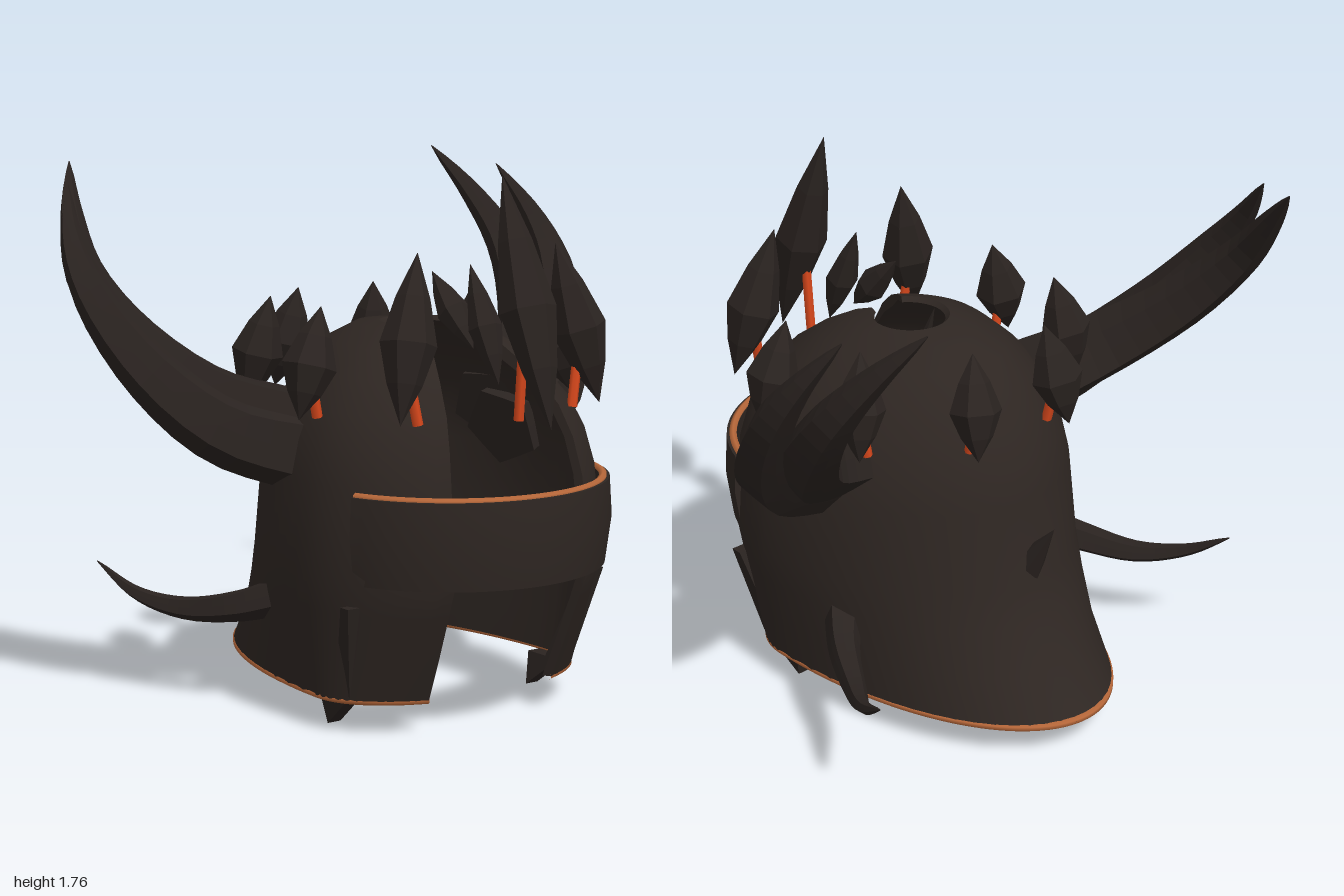
import * as THREE from 'three';
import { toCreasedNormals } from 'three/addons/utils/BufferGeometryUtils.js';

const V = (x, y, z) => new THREE.Vector3(x, y, z);
const iron = new THREE.MeshStandardMaterial({ color: 0x2e2622 });
const facetedIron = new THREE.MeshStandardMaterial({ color: 0x2a2320, flatShading: true });
const copper = new THREE.MeshStandardMaterial({ color: 0xb8683a });
const ember = new THREE.MeshStandardMaterial({ color: 0xd9481c });

// Skins closed cross-sections into a solid with both ends capped.
function loft(rings) {
  const n = rings[0].length, last = (rings.length - 1) * n, index = [];
  const quad = (a, b, c, d) => index.push(a, b, c, a, c, d);
  for (let i = 0; i < rings.length - 1; i++)
    for (let k = 0; k < n; k++) {
      const m = (k + 1) % n;
      quad(i * n + k, (i + 1) * n + k, (i + 1) * n + m, i * n + m);
    }
  for (let k = 0; k < n / 2 - 1; k++) {
    quad(k, k + 1, n - 2 - k, n - 1 - k);
    quad(last + n - 1 - k, last + n - 2 - k, last + k + 1, last + k);
  }
  const g = new THREE.BufferGeometry().setFromPoints(rings.flat());
  g.setIndex(index);
  return toCreasedNormals(g, 0.6);
}

function tube(points, r) {
  return new THREE.TubeGeometry(new THREE.CatmullRomCurve3(points), points.length * 2, r, 6);
}

// Tapering, ridged horn along a curve.
function horn(points, r0) {
  const curve = new THREE.CatmullRomCurve3(points), steps = 18, sides = 10;
  const { normals, binormals } = curve.computeFrenetFrames(steps);
  const rings = [];
  for (let i = 0; i <= steps; i++) {
    const t = i / steps, c = curve.getPoint(t), r = r0 * Math.pow(1 - t, 0.8) + 0.002;
    rings.push(Array.from({ length: sides }, (_, k) => {
      const a = -k / sides * Math.PI * 2, q = k % 2 ? r * 0.82 : r;
      return c.clone()
        .addScaledVector(normals[Math.min(i, steps)], Math.cos(a) * q)
        .addScaledVector(binormals[Math.min(i, steps)], Math.sin(a) * q);
    }));
  }
  return loft(rings);
}

export function createModel() {
  const group = new THREE.Group();
  const add = (name, geometry, material) => {
    const mesh = new THREE.Mesh(geometry, material);
    mesh.name = name;
    group.add(mesh);
    return mesh;
  };

  // Helmet shell: height, half width, z at the face opening, z at the back, centre z
  const rows = [
    [0.11, 0.5, 0.52, -0.74, 0.25], [0.25, 0.515, 0.58, -0.62, 0.25],
    [0.4, 0.53, 0.64, -0.54, 0.25], [0.52, 0.54, 0.685, -0.49, 0.25],
    [0.8, 0.525, 0.65, -0.45, 0.25], [0.92, 0.495, 0.62, -0.42, 0.24],
    [1.02, 0.45, 0.575, -0.37, 0.22], [1.12, 0.375, 0.49, -0.31, 0.19],
    [1.2, 0.28, 0.39, -0.23, 0.16], [1.25, 0.18, 0.3, -0.13, 0.14],
    [1.265, 0.13, 0.25, 0, 0.13],
  ];
  const open = Math.PI / 6;
  const shellPoint = ([y, w, front, back, zc], a, inset) => {
    const c = Math.cos(a);
    const depth = c > 0 ? (front - zc) / Math.cos(open) : zc - back;
    const drop = inset * THREE.MathUtils.smoothstep(y, 0.9, 1.25);
    return V((w - inset) * Math.sin(a), y - drop, zc + (depth - inset) * c);
  };
  const angles = Array.from({ length: 57 }, (_, i) => open + i / 56 * (Math.PI - open) * 2);
  add('helmetShell', loft(angles.map(a => [
    ...rows.map(r => shellPoint(r, a, 0)),
    ...rows.map(r => shellPoint(r, a, r[0] > 1.24 ? 0.015 : 0.03)).reverse(),
  ])), iron);
  add('lowerRim', tube(angles.map(a => shellPoint(rows[0], a, 0.012)), 0.014), copper);

  // Curved visor band with a copper upper edge
  const profile = [[0.515, 0.5], [0.535, 0.65], [0.527, 0.78], [0.492, 0.78], [0.5, 0.65], [0.482, 0.5]];
  const arc = Array.from({ length: 33 }, (_, i) => -1.25 + i / 32 * 2.5);
  const onArc = (r, y, a) => V(r * Math.sin(a), y, 0.283 + r * Math.cos(a));
  add('visorBand', loft(arc.map(a => profile.map(([r, y]) => onArc(r, y, a)))), iron);
  add('visorTrim', tube(arc.map(a => onArc(0.505, 0.779, a)), 0.014), copper);

  // Faceted spindle between two points
  const crystal = (name, bottom, top, r, fat = 0.47) => {
    const axis = top.clone().sub(bottom), h = axis.length();
    const outline = [[0, 0], [r * 0.62, h * fat * 0.5], [r, h * fat], [r * 0.6, h * (fat + 0.27)], [0, h]];
    const g = new THREE.LatheGeometry(outline.map(([x, y]) => new THREE.Vector2(x, y)), 6);
    const mesh = add(name, g, facetedIron);
    mesh.position.copy(bottom);
    mesh.quaternion.setFromUnitVectors(V(0, 1, 0), axis.normalize());
  };
  const stem = (from, to) => add('crystalStem', tube([from, to], 0.017), ember);

  // Centre row of crystals
  crystal('frontCrystal', V(0, 0.99, 0.81), V(0, 1.76, 0.56), 0.09);
  stem(V(0, 1, 0.65), V(0, 1.24, 0.67));
  crystal('crestCrystal', V(0, 1.1, 0.55), V(0, 1.47, 0.4), 0.055);
  crystal('crestCrystal', V(0, 1.2, 0.42), V(0, 1.43, 0.2), 0.055);
  crystal('crestCrystal', V(0, 0.8, 0.2), V(0, 1.33, 0.01), 0.06, 0.3);

  // Swept tooth plate at the cheek, leaning inwards towards its tip
  const tooth = new THREE.Shape([[0.46, 0.43], [0.42, 0.43], [0.3, 0.11], [0.21, 0.11], [0.225, 0], [0.38, 0.12]]
    .map(([z, y]) => new THREE.Vector2(-z, y)));

  for (const s of [1, -1]) {
    const side = s > 0 ? 'left' : 'right';
    const path = pts => pts.map(([x, y, z]) => V(s * x, y, z));

    // Crown crystals: bottom, top, radius
    for (const [b, t, r, st] of [
      [[0.4, 1.01, 0.57], [0.275, 1.53, 0.49], 0.09, [0.31, 0.54]],
      [[0.55, 1, 0.24], [0.45, 1.35, 0.22], 0.088, [0.47, 0.225]],
      [[0.48, 1, -0.17], [0.42, 1.35, -0.11], 0.085, [0.43, -0.15]],
      [[0.2, 1, -0.42], [0.155, 1.34, -0.34], 0.085, [0.17, -0.345]],
    ]) {
      crystal(side + 'CrownCrystal', ...path([b, t]), r);
      stem(...path([[st[0], 1, st[1]], [(b[0] + t[0]) / 2, 1.15, (b[2] + t[2]) / 2]]));
    }

    // Paired large horns and a small lower horn
    add(side + 'InnerHorn', horn(path([[0.4, 0.93, 0], [0.64, 1.03, -0.13], [0.81, 1.22, -0.34],
      [0.875, 1.42, -0.52], [0.835, 1.6, -0.67], [0.76, 1.76, -0.81]]), 0.14), facetedIron);
    add(side + 'OuterHorn', horn(path([[0.4, 0.86, 0.06], [0.67, 0.95, -0.02], [0.85, 1.13, -0.16],
      [0.95, 1.36, -0.33], [0.95, 1.53, -0.46], [0.89, 1.7, -0.59]]), 0.14), facetedIron);
    add(side + 'LowerHorn', horn(path([[0.44, 0.375, -0.03], [0.54, 0.33, -0.15], [0.64, 0.305, -0.32],
      [0.73, 0.34, -0.47], [0.79, 0.43, -0.62]]), 0.066), facetedIron);

    // Cheek tooth
    const g = new THREE.ExtrudeGeometry(tooth, { depth: 0.05, bevelEnabled: false });
    g.rotateY(Math.PI / 2).translate(-0.025, 0, 0);
    const p = g.attributes.position;
    for (let i = 0; i < p.count; i++) p.setX(i, p.getX(i) + s * (0.41 + 0.2 * p.getY(i)));
    g.computeVertexNormals();
    add(side + 'CheekTooth', g, facetedIron);
  }

  // Spike on the back of the skull
  const spike = add('backSpike', new THREE.ConeGeometry(0.055, 0.22, 6), facetedIron);
  spike.position.set(0, 0.65, -0.505);
  spike.quaternion.setFromUnitVectors(V(0, 1, 0), V(0, 0.17, -0.11).normalize());

  return group;
}
